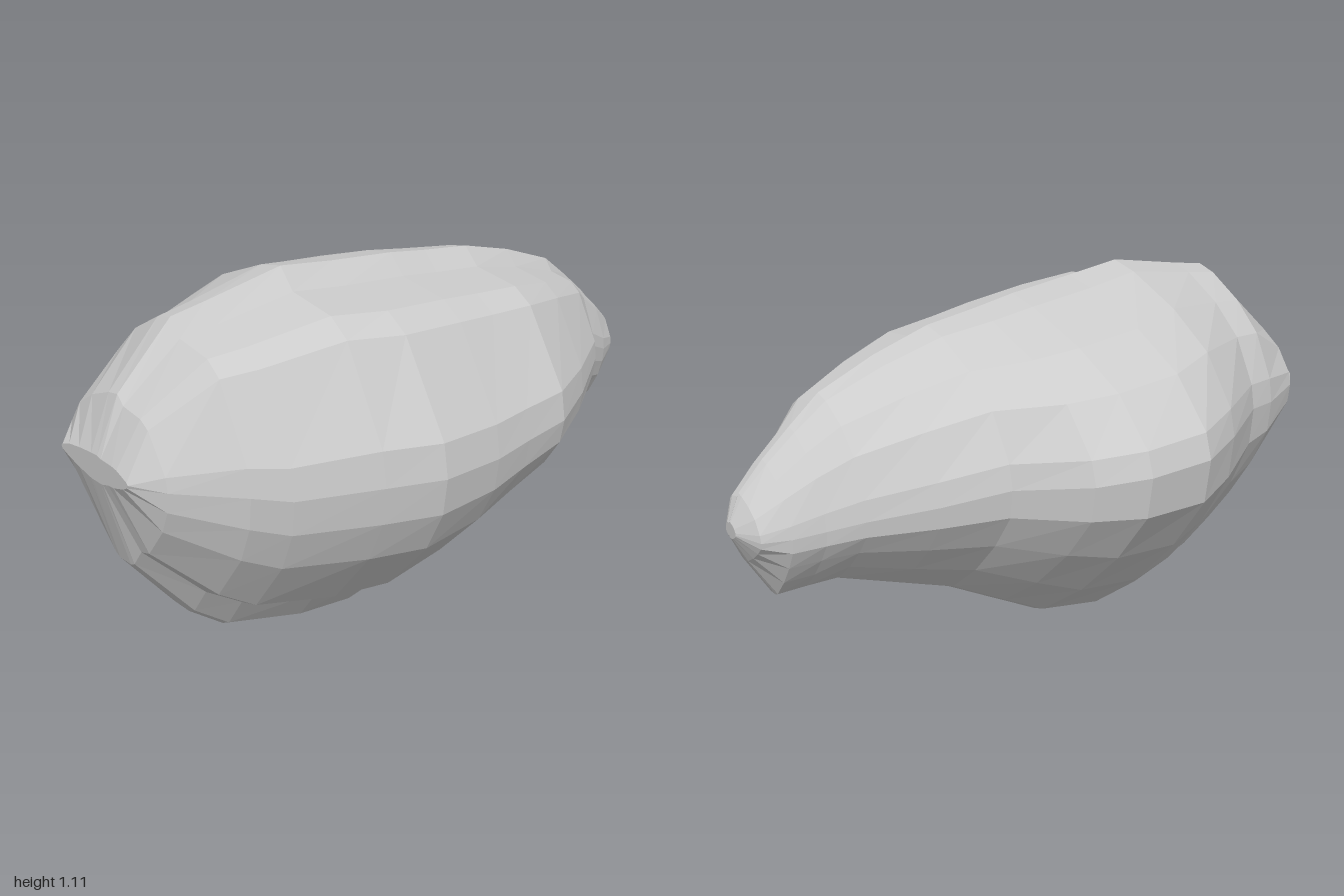
import * as THREE from 'three';

// Stations from front to back: z, left edge, right edge, bottom, widest height at -x, at +x, top
const STATIONS = [
  [1.0, -0.14, 0.20, 0.62, 0.665, 0.665, 0.70],
  [0.93, -0.21, 0.28, 0.355, 0.66, 0.65, 0.86],
  [0.76, -0.29, 0.41, 0.15, 0.66, 0.63, 1.04],
  [0.65, -0.32, 0.45, 0.07, 0.67, 0.60, 1.06],
  [0.40, -0.49, 0.53, 0.01, 0.69, 0.59, 1.11],
  [0.22, -0.58, 0.58, 0.00, 0.69, 0.58, 1.09],
  [0.0, -0.58, 0.56, 0.045, 0.69, 0.57, 1.07],
  [-0.14, -0.50, 0.54, 0.12, 0.67, 0.58, 1.05],
  [-0.31, -0.34, 0.52, 0.21, 0.65, 0.59, 1.03],
  [-0.50, -0.26, 0.42, 0.28, 0.62, 0.60, 0.98],
  [-0.69, -0.18, 0.30, 0.35, 0.60, 0.63, 0.91],
  [-0.79, -0.13, 0.20, 0.35, 0.58, 0.62, 0.835],
  [-0.88, -0.10, 0.17, 0.35, 0.57, 0.58, 0.76],
  [-0.96, -0.07, 0.13, 0.48, 0.57, 0.57, 0.68],
  [-1.0, 0.0, 0.06, 0.56, 0.58, 0.58, 0.61],
];

// Unit cross-section, counter-clockwise: lower ledge on the right, raised ridge on top
const PROFILE = [
  [0.12, -1], [0.20, -0.97], [0.37, -0.79], [0.54, -0.75], [0.85, -0.43], [0.97, -0.2],
  [1, 0], [0.97, 0.2], [0.67, 0.72], [0.53, 0.82], [0.19, 0.87],
  [0.08, 1], [-0.1, 0.96], [-0.46, 0.79], [-0.75, 0.56], [-0.96, 0.2],
  [-1, 0], [-0.97, -0.2], [-0.77, -0.46], [-0.5, -0.73], [-0.19, -0.97], [-0.11, -1],
];

function ring([z, xl, xr, bottom, yl, yr, top]) {
  const cx = xl + (xr - xl) * 0.5 + (0.04 - (xl + xr) / 2) * (xl < -0.01 ? 1 : 0);
  return PROFILE.map(([u, v]) => {
    const x = u > 0 ? cx + u * (xr - cx) : cx + u * (cx - xl);
    const mid = THREE.MathUtils.lerp(yl, yr, (u + 1) / 2);
    const y = v > 0 ? mid + v * (top - mid) : mid + v * (mid - bottom);
    return new THREE.Vector3(x, y, z);
  });
}

// Joins the rings with flat facets and closes both ends
function loft(rings) {
  const pos = [];
  const tri = (...pts) => pts.forEach((p) => pos.push(p.x, p.y, p.z));
  const n = PROFILE.length;
  for (let i = 0; i < rings.length - 1; i++) {
    for (let j = 0; j < n; j++) {
      const k = (j + 1) % n;
      const a = rings[i][j], b = rings[i][k], c = rings[i + 1][j], d = rings[i + 1][k];
      tri(a, c, d);
      tri(a, d, b);
    }
  }
  [rings[0], rings[rings.length - 1]].forEach((r, end) => {
    const centre = r.reduce((s, p) => s.add(p), new THREE.Vector3()).divideScalar(n);
    for (let j = 0; j < n; j++) {
      const p = r[j], q = r[(j + 1) % n];
      if (end) tri(centre, q, p);
      else tri(centre, p, q);
    }
  });
  const geo = new THREE.BufferGeometry();
  geo.setAttribute('position', new THREE.Float32BufferAttribute(pos, 3));
  geo.computeVertexNormals();
  return geo;
}

export function createModel() {
  const group = new THREE.Group();
  group.name = 'boulder';
  const material = new THREE.MeshStandardMaterial({ color: 0xcccccc, flatShading: true });
  const rock = new THREE.Mesh(loft(STATIONS.map(ring)), material);
  rock.name = 'rock';
  group.add(rock);
  return group;
}
